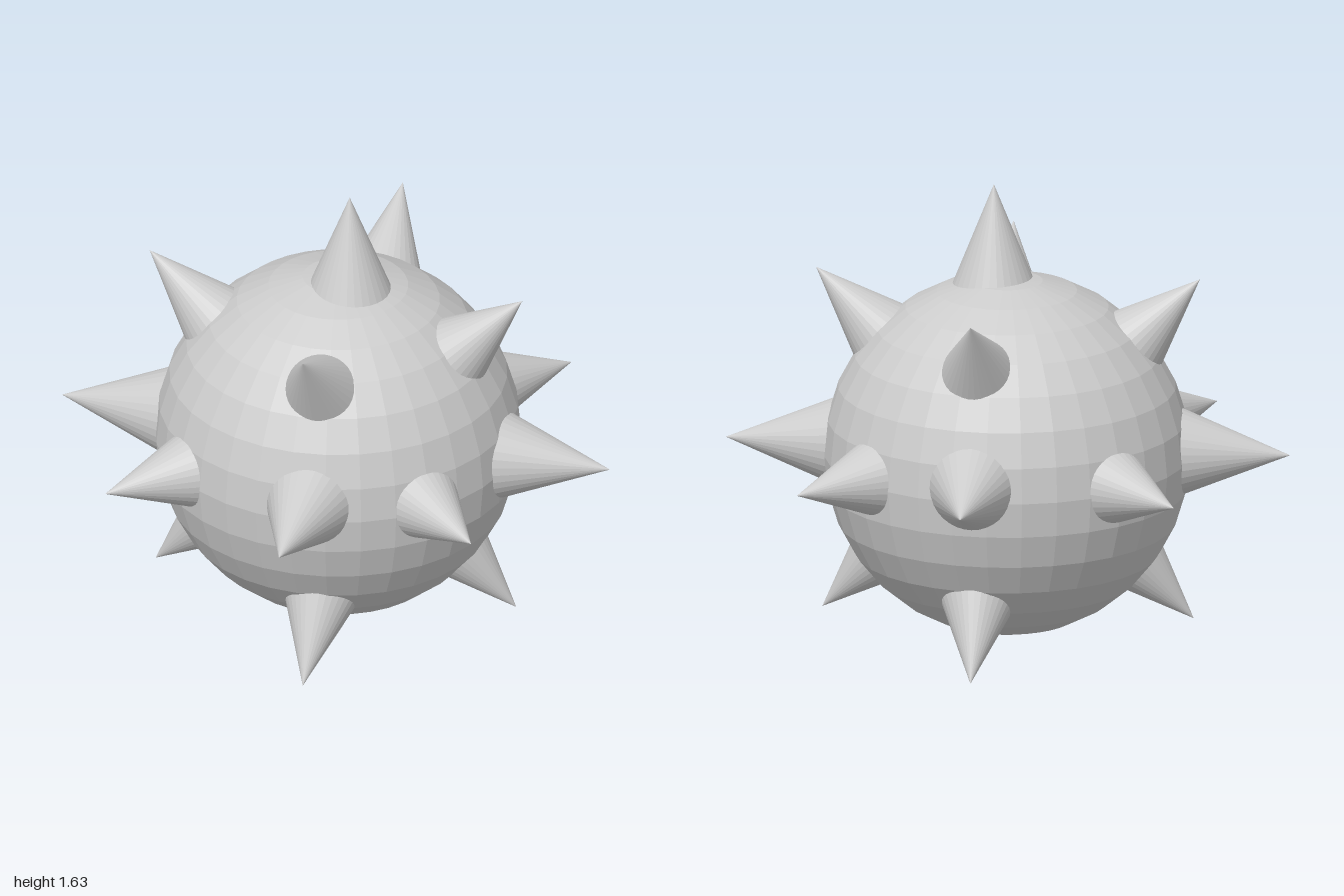
import * as THREE from 'three';

const material = new THREE.MeshStandardMaterial({ color: 0xcccccc, flatShading: true });
const UP = new THREE.Vector3(0, 1, 0);
const LENGTH = 0.5; // the wide end is buried in the ball
const RADIUS = 0.2;

// Cone with its tip at the origin, pointing along +y
const spikeGeometry = new THREE.ConeGeometry(RADIUS, LENGTH, 32).translate(0, -LENGTH / 2, 0);

function addSpike(group, name, tip, direction) {
  const spike = new THREE.Mesh(spikeGeometry, material);
  spike.name = name;
  spike.position.set(...tip);
  spike.quaternion.setFromUnitVectors(UP, new THREE.Vector3(...direction).normalize());
  group.add(spike);
}

export function createModel() {
  const model = new THREE.Group();
  model.name = 'spikedBall';

  // Faceted ball
  const ball = new THREE.Mesh(new THREE.SphereGeometry(0.645, 32, 16), material);
  ball.name = 'ball';
  ball.position.y = 0.655;
  model.add(ball);

  const spikes = new THREE.Group();
  spikes.name = 'spikes';
  model.add(spikes);

  // Straight spikes: top and the four sides (none underneath)
  addSpike(spikes, 'topSpike', [0.05, 1.63, 0.03], [0, 1, 0]);
  for (const s of [1, -1]) {
    addSpike(spikes, s > 0 ? 'leftSpike' : 'rightSpike', [s, 0.67, 0.03], [s, 0, 0]);
    addSpike(spikes, s > 0 ? 'frontSpike' : 'backSpike', [0.053, 0.695, s * 0.983], [0, 0, s]);
  }

  // Diagonal spikes at 45 degrees in each of the three planes
  for (const a of [1, -1]) {
    for (const b of [1, -1]) {
      addSpike(spikes, 'levelDiagonalSpike', [a * 0.668, 0.67, b * 0.667], [a, 0, b]);
      addSpike(spikes, b > 0 ? 'upperSideSpike' : 'lowerSideSpike',
        b > 0 ? [a * 0.68, 1.305, 0.03] : [a * 0.658, 0.06, 0.03], [a, b, 0]);
      addSpike(spikes, b > 0 ? 'upperEndSpike' : 'lowerEndSpike',
        [0.053, b > 0 ? 1.307 : 0, a * 0.665], [0, b, a]);
    }
  }
  return model;
}
